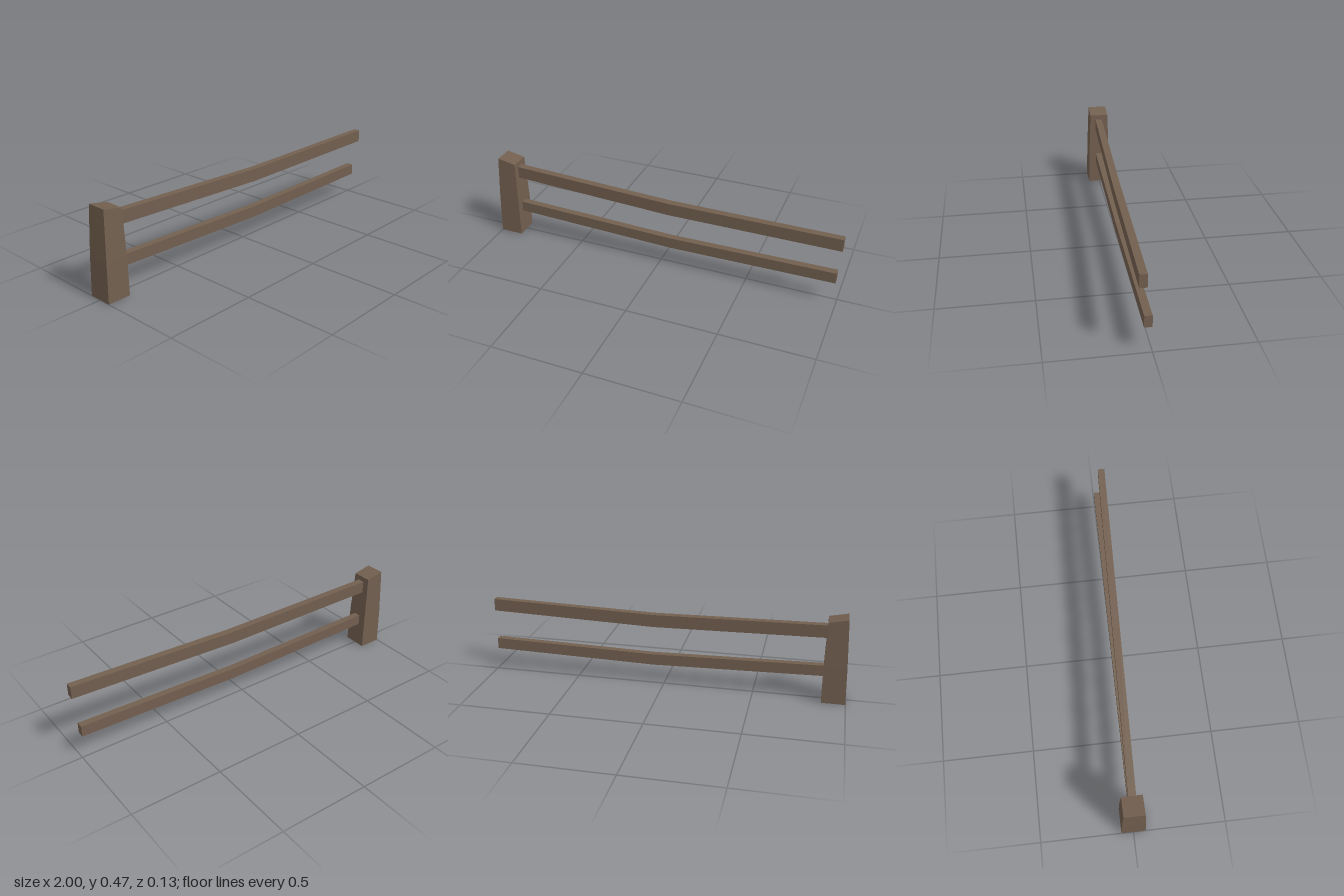
import * as THREE from 'three';

// Closed four-sided loft; each ring lists its corners counter-clockwise as seen from the last ring's end.
function loft(rings) {
  const pos = [];
  const quad = (a, b, c, d) => [a, b, c, a, c, d].forEach((p) => pos.push(...p));
  for (let i = 0; i < rings.length - 1; i++) {
    for (let j = 0; j < 4; j++) {
      const k = (j + 1) % 4;
      quad(rings[i][j], rings[i][k], rings[i + 1][k], rings[i + 1][j]);
    }
  }
  quad(...[...rings[0]].reverse());
  quad(...rings[rings.length - 1]);
  const g = new THREE.BufferGeometry();
  g.setAttribute('position', new THREE.Float32BufferAttribute(pos, 3));
  g.computeVertexNormals();
  return g;
}

// Horizontal post section; the top may slope from left to right.
const postRing = (x0, x1, z0, z1, y0, y1 = y0) => [[x0, y0, z1], [x1, y1, z1], [x1, y1, z0], [x0, y0, z0]];

// Upright rail section at a given x.
const railRing = ([x, y0, y1, z0, z1]) => [[x, y0, z0], [x, y1, z0], [x, y1, z1], [x, y0, z1]];

export function createModel() {
  const group = new THREE.Group();
  const wood = new THREE.MeshStandardMaterial({ color: 0x725f4f, flatShading: true });
  wood.name = 'weathered wood';

  const add = (name, rings) => {
    const mesh = new THREE.Mesh(loft(rings), wood);
    mesh.name = name;
    group.add(mesh);
  };

  // Tapered post with a slanted top
  add('post', [
    postRing(-1, -0.872, -0.065, 0.066, 0),
    postRing(-0.994, -0.872, -0.064, 0.061, 0.21),
    postRing(-0.982, -0.878, -0.058, 0.05, 0.475, 0.454),
  ]);

  // Sagging rails: x, bottom, top, back, front
  add('upperRail', [
    [-0.89, 0.357, 0.426, -0.022, 0.018],
    [0.06, 0.332, 0.402, 0.003, 0.043],
    [1, 0.349, 0.418, 0.028, 0.066],
  ].map(railRing));
  add('lowerRail', [
    [-0.89, 0.137, 0.197, -0.019, 0.02],
    [0.06, 0.112, 0.174, -0.009, 0.029],
    [0.985, 0.128, 0.19, -0.001, 0.038],
  ].map(railRing));

  return group;
}
